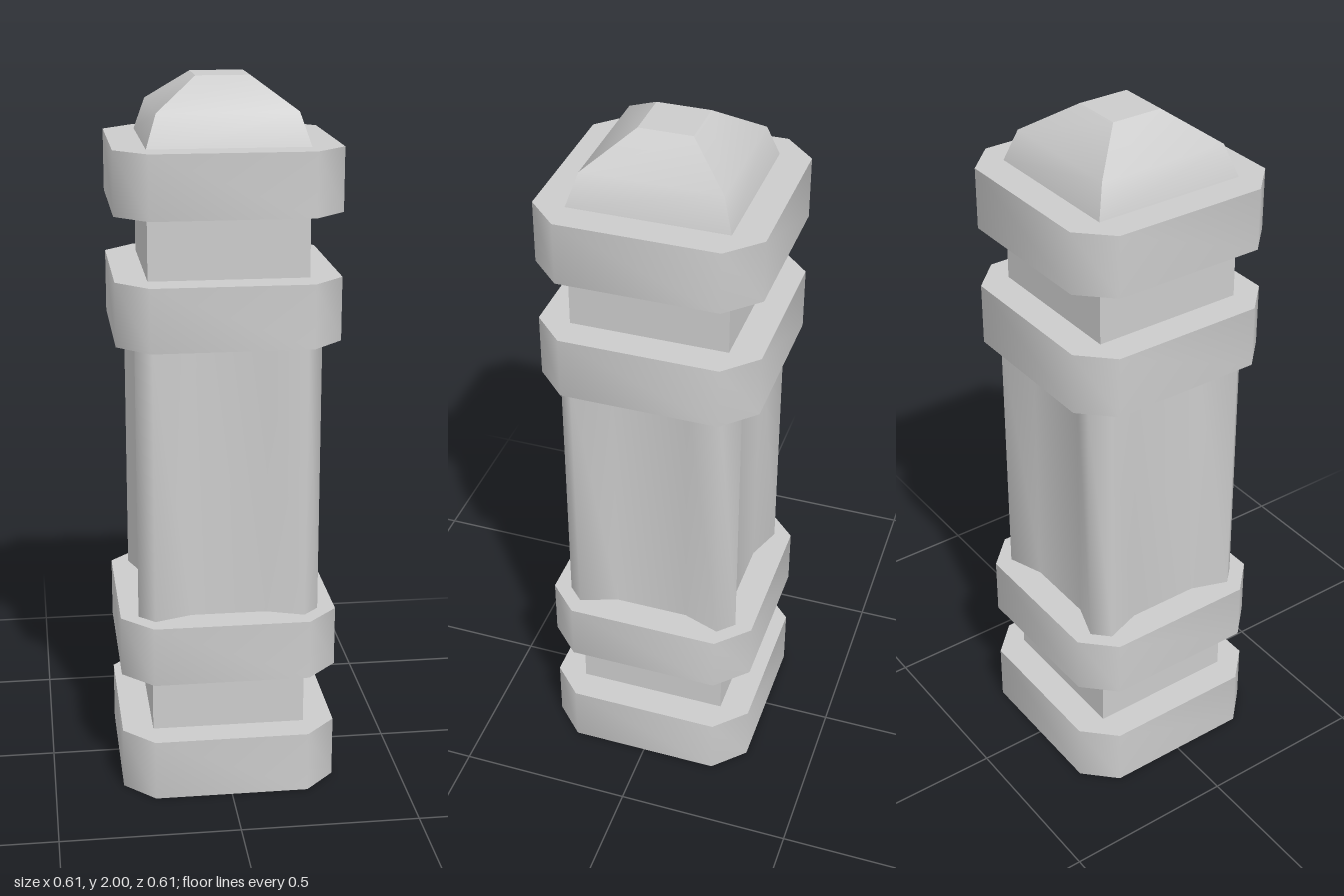
import * as THREE from 'three';
import { mergeGeometries, toCreasedNormals } from 'three/addons/utils/BufferGeometryUtils.js';

const material = new THREE.MeshStandardMaterial({ color: 0xcccccc });

// Repeat a list of [x, z] points for all four sides of a square section.
function fourSides(points) {
  const out = [];
  for (let k = 0; k < 4; k++) {
    const c = Math.round(Math.cos(k * Math.PI / 2)), s = Math.round(Math.sin(k * Math.PI / 2));
    for (const [x, y] of points) out.push(new THREE.Vector2(x * c - y * s, x * s + y * c));
  }
  return out;
}

// Upright prism between two heights; gentle corners are smooth, square ones sharp.
function prism(section, y0, y1) {
  const geo = new THREE.ExtrudeGeometry(new THREE.Shape(section), {
    depth: y1 - y0, bevelEnabled: false,
  });
  geo.rotateX(-Math.PI / 2).translate(0, y0, 0);
  return toCreasedNormals(geo, THREE.MathUtils.degToRad(75));
}

// Domed cap: four smooth curved sides meeting at sharp hips, with a flat top.
function capGeometry(profile) {
  const parts = [];
  for (let k = 0; k < 4; k++) {
    const side = new THREE.PlaneGeometry(1, 1, 1, profile.length - 1);
    const pos = side.attributes.position;
    for (let i = 0; i < pos.count; i++) {
      const [r, y] = profile[profile.length - 1 - Math.floor(i / 2)];
      pos.setXYZ(i, Math.sign(pos.getX(i)) * r, y, r);
    }
    side.computeVertexNormals();
    parts.push(side.rotateY(k * Math.PI / 2));
  }
  const [r, y] = profile[profile.length - 1];
  parts.push(new THREE.PlaneGeometry(2 * r, 2 * r).rotateX(-Math.PI / 2).translate(0, y, 0));
  return mergeGeometries(parts);
}

export function createModel() {
  const group = new THREE.Group();
  group.name = 'post';
  const add = (name, geo) => {
    const mesh = new THREE.Mesh(geo, material);
    mesh.name = name;
    group.add(mesh);
  };

  const collar = fourSides([[0.304, -0.218], [0.304, 0.218]]);
  const neck = fourSides([[0.217, 0.217]]);
  // Shaft: chamfered corner ribs sloping down to a recessed middle panel.
  const shaft = fourSides([[0.254, -0.21], [0.217, -0.105], [0.217, 0.105], [0.254, 0.21]]);

  add('baseCollar', prism(collar, 0, 0.176));
  add('lowerNeck', prism(neck, 0.176, 0.353));
  add('lowerCollar', prism(collar, 0.353, 0.524));
  add('shaft', prism(shaft, 0.524, 1.307));
  add('upperCollar', prism(collar, 1.307, 1.482));
  add('upperNeck', prism(neck, 1.482, 1.656));
  add('topCollar', prism(collar, 1.656, 1.828));
  add('cap', capGeometry([[0.217, 1.828], [0.188, 1.916], [0.073, 2]]));
  return group;
}
